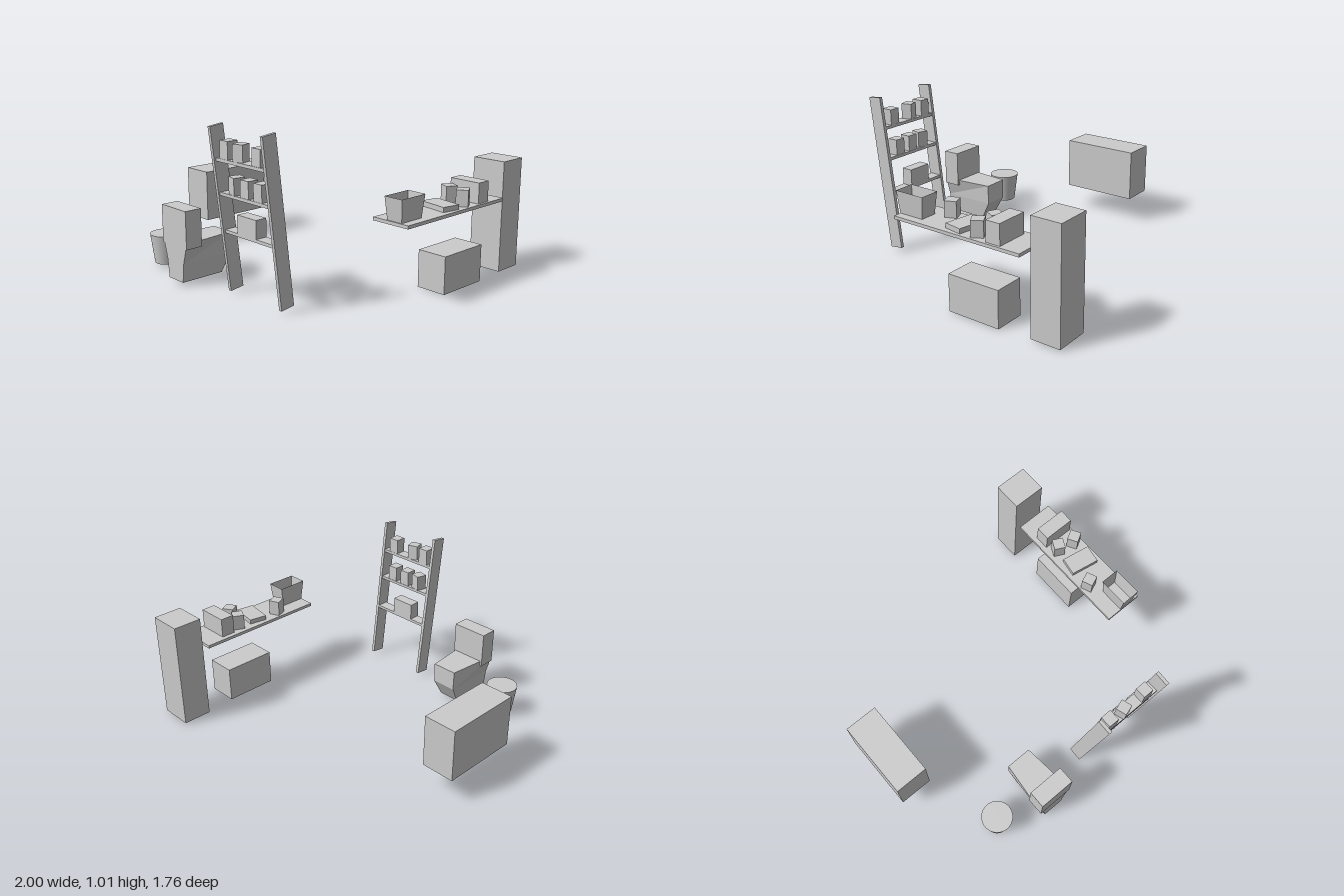
import * as THREE from 'three';

const grey = new THREE.MeshStandardMaterial({ color: 0xcccccc, flatShading: true });
const smooth = new THREE.MeshStandardMaterial({ color: 0xcccccc });
const thin = new THREE.MeshStandardMaterial({ color: 0xcccccc, flatShading: true, side: THREE.DoubleSide });

// Box given by its lower and upper bounds on each axis
function box(name, [x0, x1], [y0, y1], [z0, z1], turn = 0) {
  const mesh = new THREE.Mesh(new THREE.BoxGeometry(x1 - x0, y1 - y0, z1 - z0), grey);
  mesh.position.set((x0 + x1) / 2, (y0 + y1) / 2, (z0 + z1) / 2);
  mesh.rotation.y = turn;
  mesh.name = name;
  return mesh;
}

// Box standing at a height, given by centre and size
function item(name, x, z, y, w, h, d, turn = 0) {
  return box(name, [x - w / 2, x + w / 2], [y, y + h], [z - d / 2, z + d / 2], turn);
}

// Four-sided loft through rings listed from bottom to top
function loft(name, rings, material, capTop) {
  const pos = [];
  const quad = (a, b, c, d) => pos.push(...a, ...b, ...c, ...a, ...c, ...d);
  const corners = rings.map(({ y, x, front, back, hf, hb }) => [
    [x - hb, y, back], [x + hb, y, back], [x + hf, y, front], [x - hf, y, front],
  ]);
  for (let i = 0; i < corners.length - 1; i++) {
    for (let j = 0; j < 4; j++) {
      const k = (j + 1) % 4;
      quad(corners[i][j], corners[i][k], corners[i + 1][k], corners[i + 1][j]);
    }
  }
  const b = corners[0], t = corners[corners.length - 1];
  quad(b[3], b[2], b[1], b[0]);
  if (capTop) quad(t[0], t[1], t[2], t[3]);
  const geo = new THREE.BufferGeometry();
  geo.setAttribute('position', new THREE.Float32BufferAttribute(pos, 3));
  geo.computeVertexNormals();
  const mesh = new THREE.Mesh(geo, material);
  mesh.name = name;
  return mesh;
}

function makeToilet() {
  const g = new THREE.Group();
  g.name = 'toilet';
  const x = -0.265;
  g.add(box('toiletTank', [x - 0.12, x + 0.12], [0.235, 0.47], [0.765, 0.877]));
  // the bowl faces -z; its back is flush with the tank
  g.add(loft('toiletBowl', [
    { y: 0.02, x, front: 0.585, back: 0.875, hf: 0.07, hb: 0.07 },
    { y: 0.14, x, front: 0.52, back: 0.875, hf: 0.083, hb: 0.083 },
    { y: 0.27, x, front: 0.52, back: 0.875, hf: 0.085, hb: 0.12 },
  ], grey, true));
  return g;
}

function makeLadderShelf() {
  const g = new THREE.Group();
  g.name = 'ladderShelf';
  // leaning side rails
  for (const x of [0.094, 0.537]) {
    const rail = item('rail', x, 0.762, 0.0185, 0.021, 0.99, 0.092);
    rail.rotation.x = 0.123;
    g.add(rail);
  }
  // level shelves
  for (const [y, z] of [[0.802, 0.794], [0.602, 0.772], [0.377, 0.742]]) {
    g.add(item('shelf', 0.3155, z, y, 0.425, 0.019, 0.075));
  }
  // small boxes on each shelf
  const boxes = [
    [0.17, 0.793, 0.82, 0.07, 0.105, 0.073, 0],
    [0.279, 0.795, 0.82, 0.068, 0.1, 0.068, 0.3],
    [0.443, 0.793, 0.82, 0.07, 0.1, 0.07, 0],
    [0.21, 0.772, 0.62, 0.07, 0.102, 0.07, -0.25],
    [0.316, 0.772, 0.62, 0.07, 0.102, 0.07, 0],
    [0.428, 0.772, 0.62, 0.07, 0.102, 0.07, 0],
    [0.296, 0.742, 0.395, 0.162, 0.11, 0.075, 0],
  ];
  for (const b of boxes) g.add(item('shelfBox', ...b));
  return g;
}

function makeCounter() {
  const g = new THREE.Group();
  g.name = 'counter';
  g.add(box('counterTop', [0.745, 1.0], [0.477, 0.497], [-0.645, 0.238]));
  g.add(item('longBox', 0.881, -0.462, 0.497, 0.207, 0.127, 0.094));
  g.add(item('flatBox', 0.878, -0.19, 0.497, 0.19, 0.03, 0.12, -0.17));
  // scattered small boxes
  for (const [x, z, turn] of [[0.82, -0.348, -0.46], [0.937, -0.325, 0.52], [0.803, -0.027, 0.38]]) {
    g.add(item('smallBox', x, z, 0.497, 0.073, 0.1, 0.073, turn));
  }
  // open flared basket
  g.add(loft('basket', [
    { y: 0.499, x: 0.9, front: 0.235, back: 0.068, hf: 0.052, hb: 0.052 },
    { y: 0.636, x: 0.9, front: 0.25, back: 0.053, hf: 0.062, hb: 0.062 },
  ].map((r) => ({ ...r })), thin, false));
  return g;
}

// Loft rings run back-left, back-right, front-right, front-left; flip faces to point outward
function faceOutward(mesh) {
  const p = mesh.geometry.attributes.position;
  const tri = [0, 1, 2].map(() => new THREE.Vector3());
  mesh.geometry.computeBoundingBox();
  const centre = mesh.geometry.boundingBox.getCenter(new THREE.Vector3());
  for (let i = 0; i < p.count; i += 3) {
    tri.forEach((v, k) => v.fromBufferAttribute(p, i + k));
    const [a, b, c] = tri;
    const n = b.clone().sub(a).cross(c.clone().sub(a));
    if (n.dot(a.clone().add(b).add(c).divideScalar(3).sub(centre)) < 0) {
      p.setXYZ(i + 1, c.x, c.y, c.z);
      p.setXYZ(i + 2, b.x, b.y, b.z);
    }
  }
  mesh.geometry.computeVertexNormals();
}

export function createModel() {
  const model = new THREE.Group();
  model.name = 'bathroomFurniture';

  model.add(box('wallCabinet', [-1, -0.782], [0.167, 0.505], [-0.265, 0.246]));
  model.add(box('tallCabinet', [0.745, 0.965], [0.008, 0.708], [-0.88, -0.69]));
  model.add(box('lowCabinet', [0.777, 0.973], [0, 0.232], [-0.482, -0.133]));

  // tapered round bin
  const bin = new THREE.Mesh(new THREE.CylinderGeometry(0.1, 0.075, 0.19, 32), smooth);
  bin.position.set(-0.605, 0.115, 0.71);
  bin.name = 'bin';
  model.add(bin);

  model.add(makeToilet(), makeLadderShelf(), makeCounter());
  for (const name of ['toiletBowl', 'basket']) faceOutward(model.getObjectByName(name));
  return model;
}
